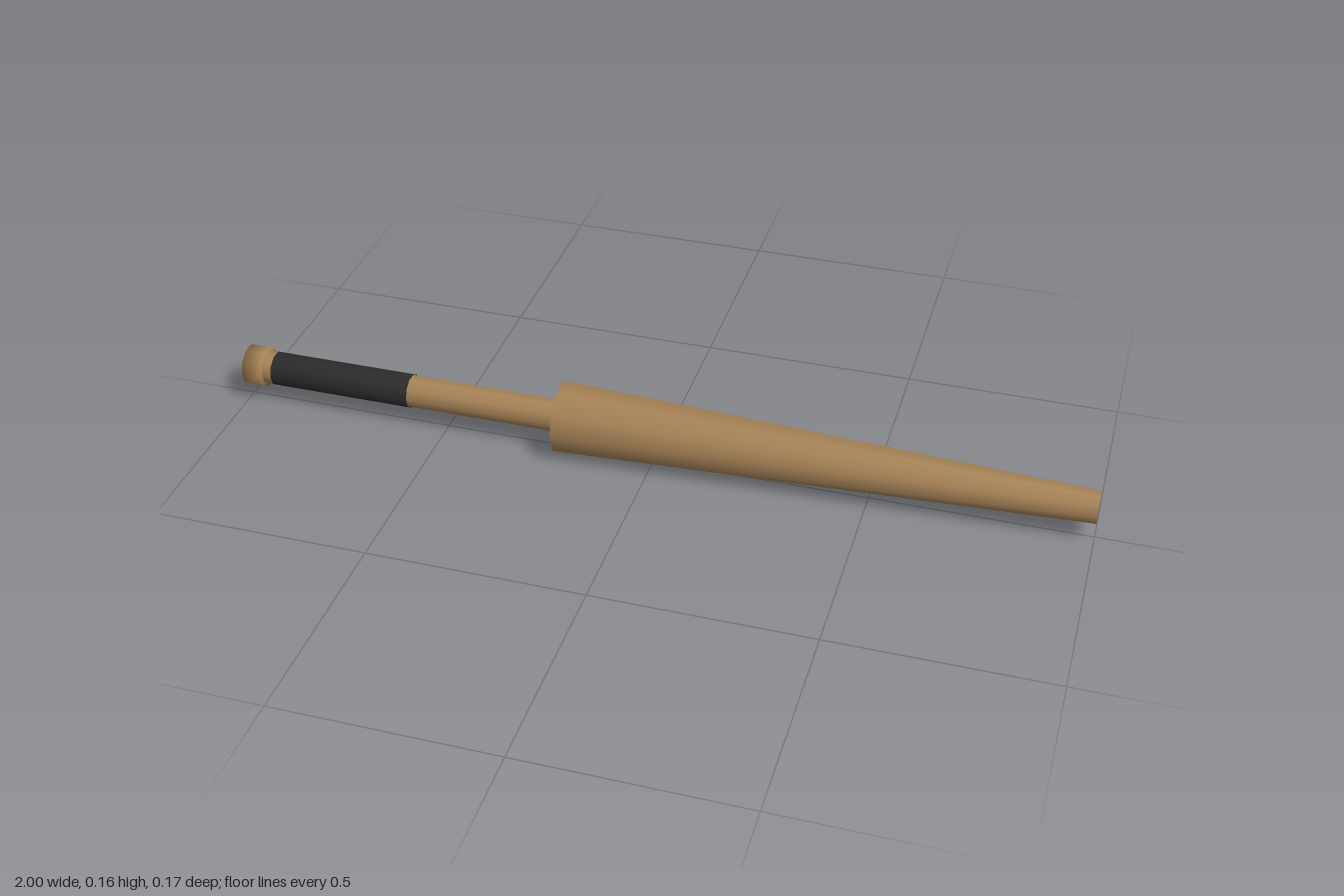
import * as THREE from 'three';

export function createModel() {
  const group = new THREE.Group();
  const wood = new THREE.MeshStandardMaterial({ color: 0xa88458 });
  wood.name = 'wood';
  const wrap = new THREE.MeshStandardMaterial({ color: 0x2c2c2c });
  wrap.name = 'blackWrap';

  const SIDES = 10;
  const AXIS_HEIGHT = 0.082;

  // Turned part: profile of [x along the axis, radius], laid along x
  function turned(name, profile, material) {
    const points = profile.map(([x, r]) => new THREE.Vector2(r, x));
    const geometry = new THREE.LatheGeometry(points, SIDES);
    geometry.rotateZ(-Math.PI / 2);
    const mesh = new THREE.Mesh(geometry, material);
    mesh.name = name;
    mesh.position.y = AXIS_HEIGHT;
    group.add(mesh);
  }

  // End knob and the short neck behind the grip
  turned('knob', [[-1, 0], [-1, 0.048], [-0.952, 0.048], [-0.952, 0]], wood);
  turned('neck', [[-0.96, 0.039], [-0.925, 0.039]], wood);

  // Wrapped grip
  turned('grip', [[-0.93, 0], [-0.93, 0.041], [-0.587, 0.041], [-0.587, 0]], wrap);

  // Bare handle running into the barrel
  turned('handle', [[-0.6, 0.039], [-0.21, 0.039]], wood);

  // Heavy barrel, tapering to a flat tip
  turned('barrel', [[-0.22, 0], [-0.22, 0.0855], [1, 0.038], [1, 0]], wood);

  return group;
}
